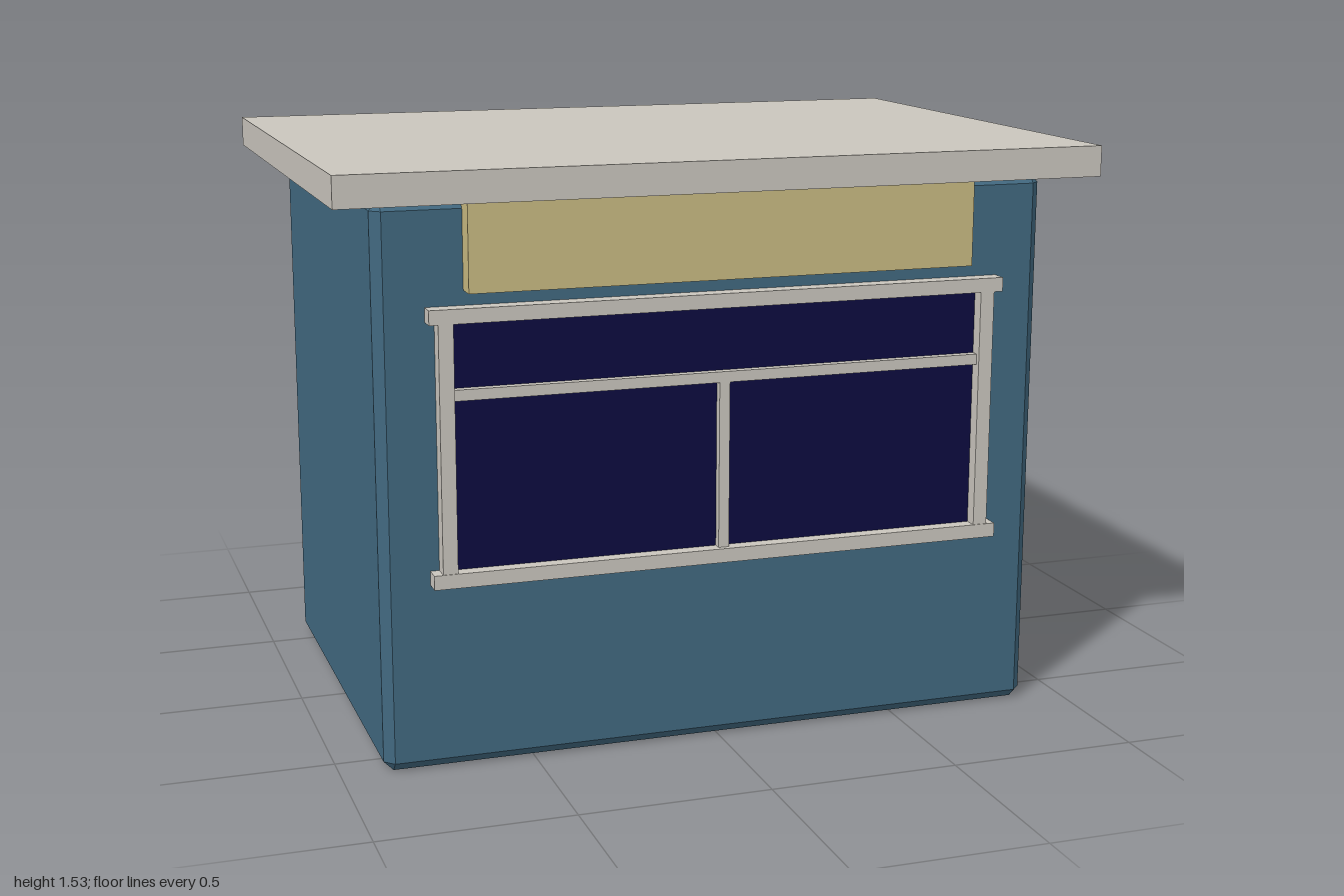
import * as THREE from 'three';
import { ConvexGeometry } from 'three/addons/geometries/ConvexGeometry.js';

const mat = (name, color) => {
  const m = new THREE.MeshStandardMaterial({ color });
  m.name = name;
  return m;
};

// Box with every edge cut by a flat chamfer c
function chamferBox(w, h, d, c) {
  const pts = [];
  for (const x of [-1, 1]) for (const y of [-1, 1]) for (const z of [-1, 1]) {
    for (const k of [0, 1, 2]) {
      pts.push(new THREE.Vector3(
        x * (w / 2 - (k === 0 ? 0 : c)),
        y * (h / 2 - (k === 1 ? 0 : c)),
        z * (d / 2 - (k === 2 ? 0 : c))));
    }
  }
  return new ConvexGeometry(pts);
}

export function createModel() {
  const group = new THREE.Group();
  group.name = 'kiosk';
  const blue = mat('wall blue', 0x41687f);
  const stone = mat('trim grey', 0xc9c5bd);
  const tan = mat('sign tan', 0xc8b981);
  const navy = mat('glass navy', 0x0c0b40);

  // Box given by its limits on each axis
  const box = (name, material, x0, x1, y0, y1, z0, z1, parent = group) => {
    const m = new THREE.Mesh(new THREE.BoxGeometry(x1 - x0, y1 - y0, z1 - z0), material);
    m.position.set((x0 + x1) / 2, (y0 + y1) / 2, (z0 + z1) / 2);
    m.name = name;
    parent.add(m);
  };

  // Walls with chamfered edges
  const walls = new THREE.Mesh(chamferBox(1.78, 1.45, 1.22, 0.025), blue);
  walls.name = 'walls';
  walls.position.y = 0.725;
  group.add(walls);

  // Flat overhanging roof and blank sign board
  box('roof', stone, -1, 1, 1.45, 1.53, -0.72, 0.72);
  box('signBoard', tan, -0.667, 0.667, 1.225, 1.45, 0.6, 0.667);

  // Front window: glass, rails, posts and glazing bars
  const win = new THREE.Group();
  win.name = 'window';
  group.add(win);
  box('glass', navy, -0.71, 0.71, 0.52, 1.155, 0.61, 0.618, win);
  box('windowSill', stone, -0.764, 0.764, 0.486, 0.523, 0.605, 0.655, win);
  box('windowHead', stone, -0.764, 0.764, 1.151, 1.188, 0.605, 0.655, win);
  for (const s of [-1, 1]) {
    const x = s * 0.722;
    box(s > 0 ? 'leftPost' : 'rightPost', stone, x - 0.019, x + 0.019, 0.523, 1.151, 0.605, 0.653, win);
  }
  box('transom', stone, -0.703, 0.703, 0.957, 0.985, 0.605, 0.64, win);
  box('mullion', stone, -0.014, 0.014, 0.523, 0.957, 0.605, 0.64, win);

  return group;
}
